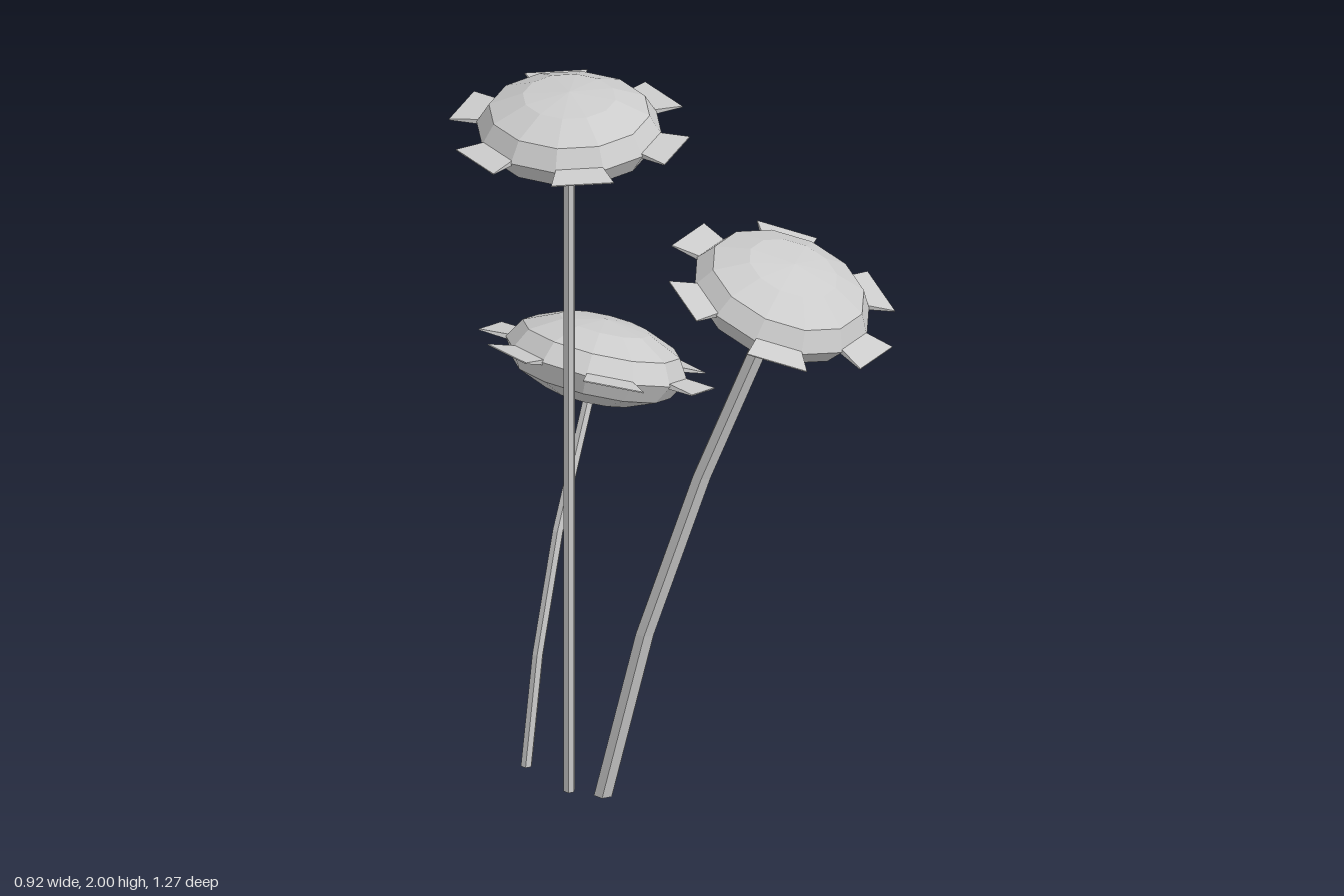
import * as THREE from 'three';

const material = new THREE.MeshStandardMaterial({ color: 0xcccccc, flatShading: true });
const HEAD_RADIUS = 0.235, HEAD_HALF_HEIGHT = 0.105, PETAL_RADIUS = 0.305;

function mesh(name, geometry) {
  const m = new THREE.Mesh(geometry, material);
  m.name = name;
  return m;
}

// Move every vertex of a geometry by a rule
function deform(geometry, rule) {
  const p = geometry.attributes.position;
  const v = new THREE.Vector3();
  for (let i = 0; i < p.count; i++) {
    rule(v.fromBufferAttribute(p, i));
    p.setXYZ(i, v.x, v.y, v.z);
  }
  geometry.computeVertexNormals();
  return geometry;
}

// Six-sided stalk whose level rings follow a short list of points
function makeStem(points, radius) {
  const n = points.length - 1;
  const geometry = new THREE.CylinderGeometry(radius, radius, n, 6, n).translate(0, n / 2, 0);
  return mesh('stem', deform(geometry, v => {
    const [x, y, z] = points[Math.round(v.y)];
    v.set(v.x + x, y, v.z + z);
  }));
}

// Wedge that spans one side of the twelve-sided rim and thins outwards
function makePetal(startAngle) {
  return mesh('petal', deform(new THREE.BoxGeometry(1, 1, 1), v => {
    const outer = v.x > 0;
    const r = outer ? PETAL_RADIUS : HEAD_RADIUS - 0.01;
    const a = startAngle + (v.z > 0 ? 0 : Math.PI / 6);
    v.set(r * Math.cos(a), v.y * (outer ? 0.003 : 0.014), -r * Math.sin(a));
  }));
}

// Flattened faceted head with a petal on every other side
function makeHead(center, normal, spin) {
  const head = new THREE.Group();
  head.name = 'flowerHead';
  const dome = new THREE.SphereGeometry(1, 12, 6).scale(HEAD_RADIUS, HEAD_HALF_HEIGHT, HEAD_RADIUS);
  head.add(mesh('seedHead', dome));
  for (let i = 0; i < 6; i++) head.add(makePetal(Math.PI / 6 + i * Math.PI / 3));
  head.position.set(...center);
  head.quaternion.setFromUnitVectors(
    new THREE.Vector3(0, 1, 0), new THREE.Vector3(...normal).normalize());
  head.rotateY(spin);
  return head;
}

const FLOWERS = [
  {
    name: 'tallFlower', radius: 0.015, spin: 0,
    center: [-0.155, 1.895, -0.155], normal: [0, 1, 0],
    stem: [[-0.155, 0, -0.155], [-0.155, 1.88, -0.155]],
  },
  {
    name: 'frontFlower', radius: 0.026, spin: -0.14,
    center: [0.066, 1.492, 0.35], normal: [0.11, 0.945, 0.31],
    stem: [[-0.115, 0, -0.077], [-0.075, 0.48, 0.025], [-0.016, 0.95, 0.16], [0.052, 1.45, 0.338]],
  },
  {
    name: 'lowFlower', radius: 0.015, spin: 0,
    center: [0.175, 1.032, -0.33], normal: [0.36, 0.933, 0],
    stem: [[-0.12, 0, -0.32], [-0.074, 0.3, -0.32], [0.008, 0.62, -0.32], [0.16, 1.0, -0.325]],
  },
];

export function createModel() {
  const model = new THREE.Group();
  model.name = 'flowers';
  for (const f of FLOWERS) {
    const flower = new THREE.Group();
    flower.name = f.name;
    flower.add(makeStem(f.stem, f.radius), makeHead(f.center, f.normal, f.spin));
    model.add(flower);
  }
  return model;
}
